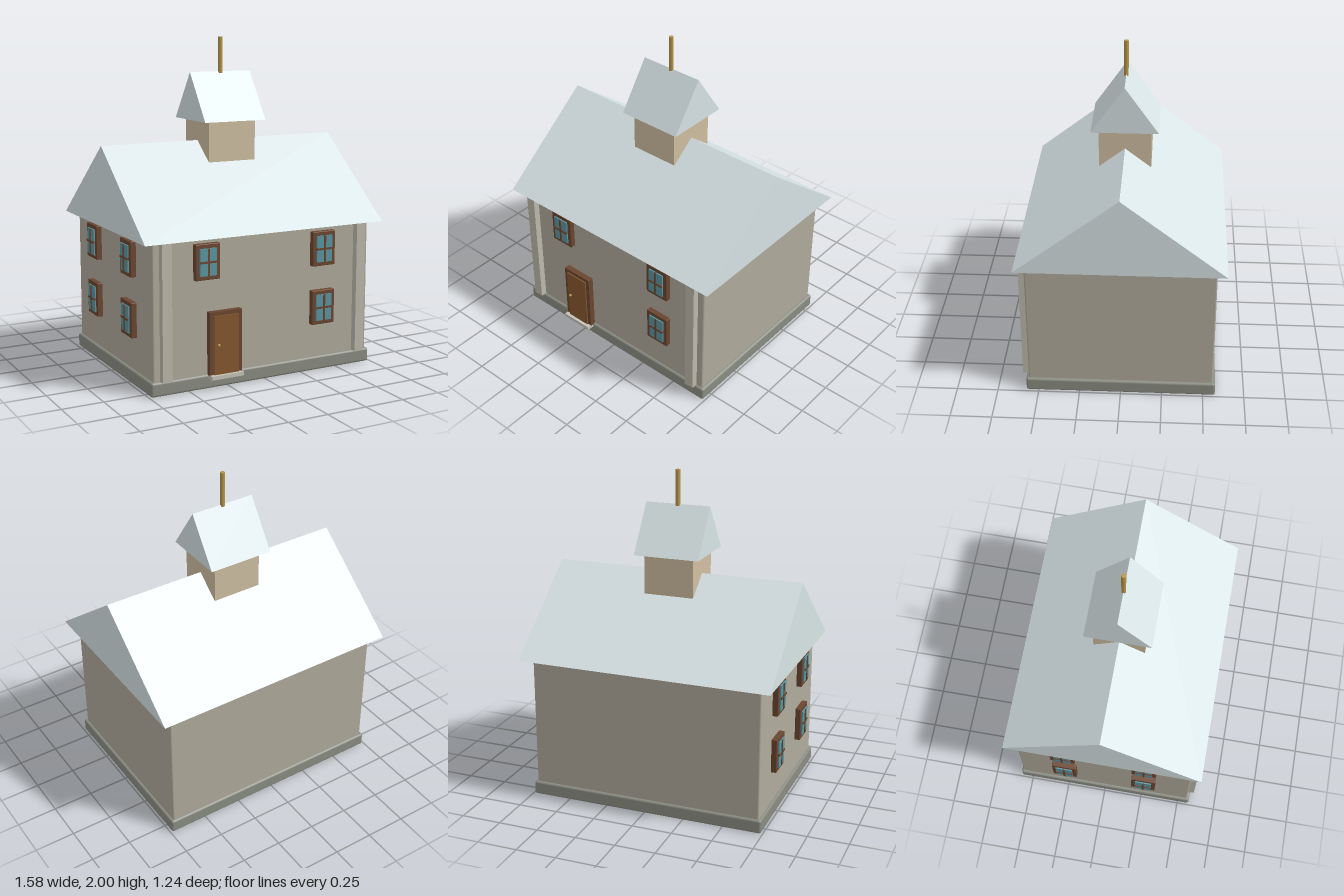
import * as THREE from 'three';
import { RoundedBoxGeometry } from 'three/addons/geometries/RoundedBoxGeometry.js';

const mat = (color) => new THREE.MeshStandardMaterial({ color });
const M = {
  wall: mat(0xb0ab9c), trim: mat(0xbdb9ac), base: mat(0x8a8d82), roof: mat(0xd8e4e6),
  cupola: mat(0xd0bfa2), frame: mat(0x6b4630), door: mat(0x85572f), glass: mat(0x5b96a3),
  gold: mat(0xb8964a), step: mat(0xc8c4b8),
};

function add(parent, name, geometry, material, x = 0, y = 0, z = 0) {
  const mesh = new THREE.Mesh(geometry, material);
  mesh.name = name;
  mesh.position.set(x, y, z);
  parent.add(mesh);
  return mesh;
}

// Box given by its low and high limits on each axis; a bevel radius is optional
function block(parent, name, material, [x0, x1], [y0, y1], [z0, z1], bevel = 0) {
  const size = [x1 - x0, y1 - y0, z1 - z0];
  const geometry = bevel ? new RoundedBoxGeometry(...size, 2, bevel) : new THREE.BoxGeometry(...size);
  return add(parent, name, geometry, material, (x0 + x1) / 2, (y0 + y1) / 2, (z0 + z1) / 2);
}

// Closed gable prism with its ridge along x
function gable(parent, name, halfLength, halfDepth, y0, y1) {
  const shape = new THREE.Shape();
  shape.moveTo(-halfDepth, 0);
  shape.lineTo(halfDepth, 0);
  shape.lineTo(0, y1 - y0);
  shape.closePath();
  const geometry = new THREE.ExtrudeGeometry(shape, { depth: halfLength * 2, bevelEnabled: false });
  geometry.translate(0, 0, -halfLength).rotateY(Math.PI / 2);
  return add(parent, name, geometry, M.roof, 0, y0, 0);
}

// Four-pane window, its back at z = 0 and facing +z
function makeWindow() {
  const g = new THREE.Group();
  g.name = 'window';
  block(g, 'windowFrame', M.frame, [-0.078, 0.078], [-0.105, 0.105], [-0.005, 0.032], 0.004);
  block(g, 'windowGlass', M.glass, [-0.053, 0.053], [-0.08, 0.08], [0.02, 0.04]);
  block(g, 'verticalGlazingBar', M.frame, [-0.006, 0.006], [-0.08, 0.08], [0.03, 0.045]);
  block(g, 'horizontalGlazingBar', M.frame, [-0.053, 0.053], [-0.006, 0.006], [0.03, 0.045]);
  return g;
}

export function createModel() {
  const house = new THREE.Group();
  house.name = 'house';

  // Plinth, walls and front pilasters
  block(house, 'plinth', M.base, [-0.74, 0.74], [0, 0.085], [-0.575, 0.575], 0.014);
  block(house, 'walls', M.wall, [-0.723, 0.723], [0.075, 0.89], [-0.56, 0.56], 0.01);
  for (const side of [-1, 1]) {
    const xs = side < 0 ? [-0.68, -0.62] : [0.62, 0.68];
    block(house, 'pilaster', M.trim, xs, [0.085, 0.89], [0.55, 0.6]);
  }

  // Main roof
  gable(house, 'mainRoof', 0.79, 0.618, 0.89, 1.375);

  // Cupola with its own roof and spire
  block(house, 'cupola', M.cupola, [-0.157, 0.157], [1.255, 1.5], [-0.157, 0.157]);
  gable(house, 'cupolaRoof', 0.206, 0.202, 1.5, 1.79);
  add(house, 'spire', new THREE.CylinderGeometry(0.014, 0.014, 0.22, 16), M.gold, 0, 1.89, 0);

  // Front windows
  for (const [x, y] of [[-0.39, 0.755], [0.39, 0.755], [0.39, 0.395]]) {
    const w = makeWindow();
    w.position.set(x, y, 0.56);
    house.add(w);
  }

  // Windows in the right wall
  for (const z of [-0.26, 0.26]) {
    for (const y of [0.755, 0.395]) {
      const w = makeWindow();
      w.rotation.y = -Math.PI / 2;
      w.position.set(-0.725, y, z);
      house.add(w);
    }
  }

  // Front door with step and knob
  const door = new THREE.Group();
  door.name = 'frontDoor';
  block(door, 'doorFrame', M.frame, [-0.38, -0.172], [0.08, 0.457], [0.55, 0.597]);
  block(door, 'doorPanel', M.door, [-0.355, -0.197], [0.08, 0.435], [0.57, 0.605]);
  block(door, 'doorStep', M.step, [-0.38, -0.172], [0.062, 0.085], [0.55, 0.623]);
  add(door, 'doorKnob', new THREE.SphereGeometry(0.009, 16, 12), M.gold, -0.33, 0.262, 0.612);
  house.add(door);

  return house;
}
